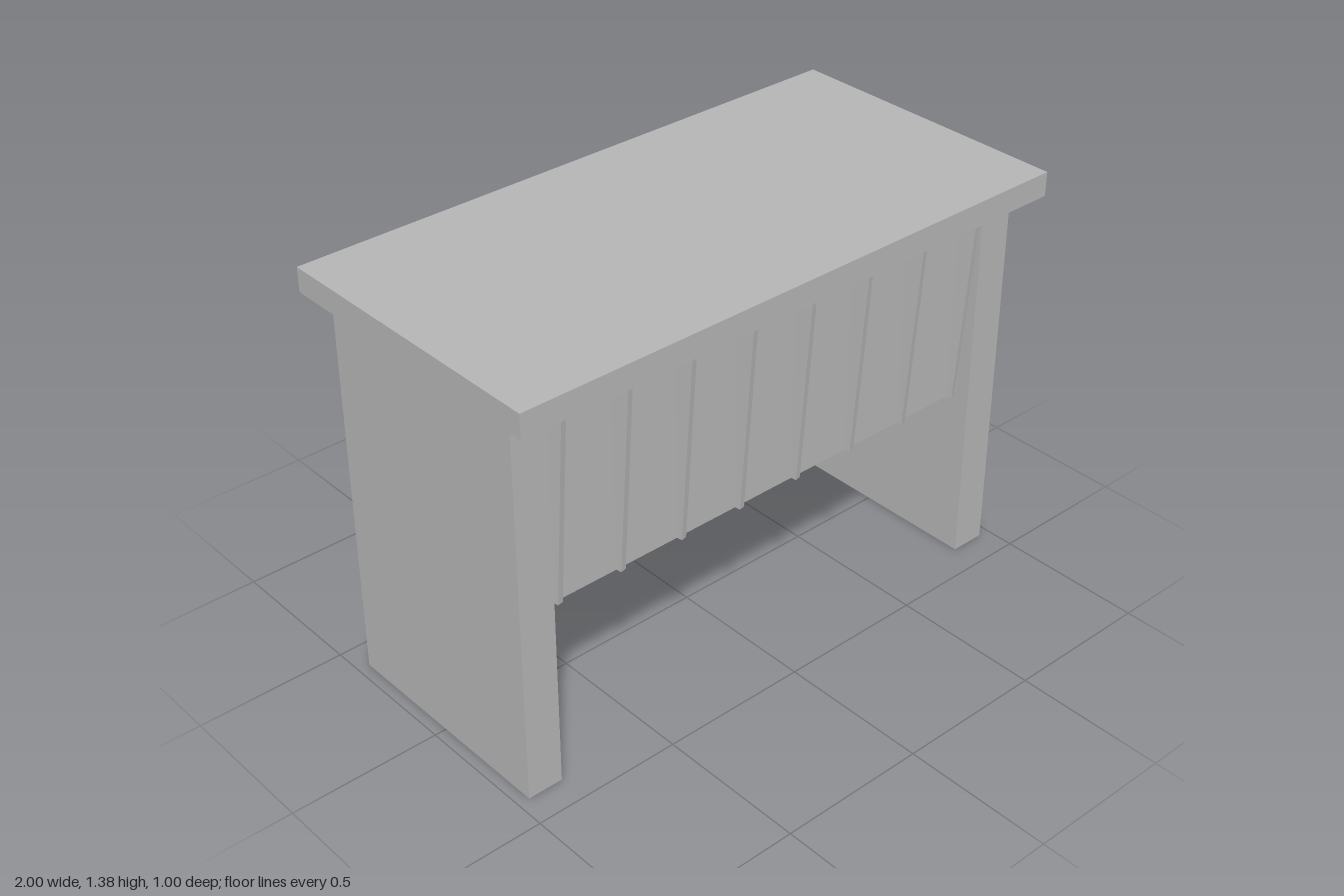
import * as THREE from 'three';

export function createModel() {
  const grey = new THREE.MeshStandardMaterial({ color: 0xb4b4b4 });
  grey.name = 'plain grey';
  const desk = new THREE.Group();
  desk.name = 'desk';

  function addBox(name, size, position, parent = desk) {
    const mesh = new THREE.Mesh(new THREE.BoxGeometry(...size), grey);
    mesh.name = name;
    mesh.position.set(...position);
    parent.add(mesh);
    return mesh;
  }

  // Overhanging top slab
  addBox('tabletop', [2, 0.08, 1], [0, 1.34, 0]);

  // Full-depth side panels
  for (const side of [-1, 1]) {
    addBox(side > 0 ? 'leftLeg' : 'rightLeg', [0.12, 1.3, 0.8], [side * 0.9, 0.65, 0]);
  }

  // Solid body hung between the legs, with a gap below the top
  addBox('body', [1.68, 0.6, 0.7], [0, 0.9, 0]);

  // Slim fins across the front, leaning forward and slightly turned
  const fins = new THREE.Group();
  fins.name = 'frontFins';
  desk.add(fins);
  const count = 8;
  for (let i = 0; i < count; i++) {
    const x = -0.8 + (1.6 * i) / (count - 1);
    const fin = addBox('fin', [0.02, 0.7, 0.08], [x, 0.95, 0.35], fins);
    fin.rotation.set(0.07, 0.2, 0);
  }
  return desk;
}
